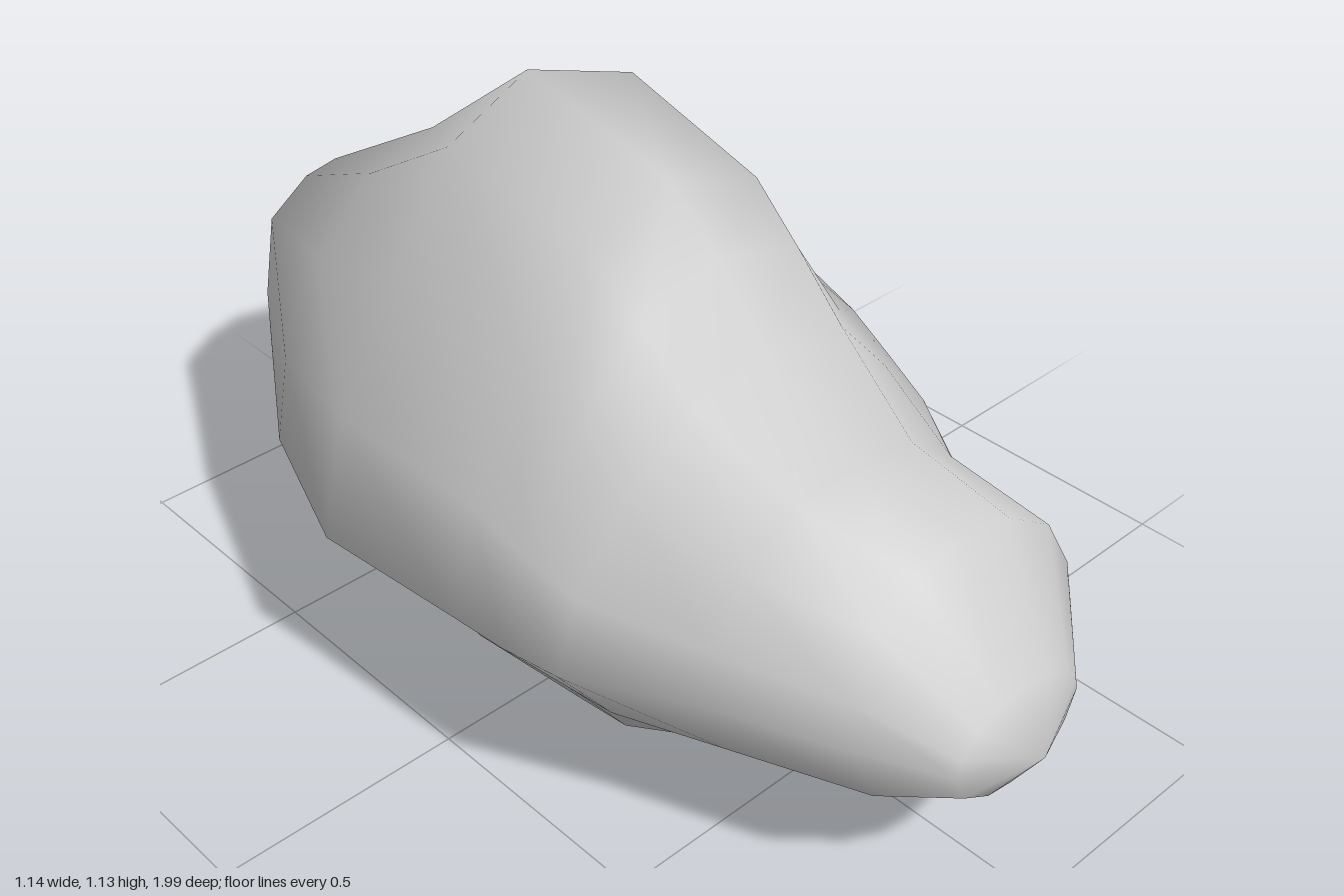
import * as THREE from 'three';

// Widest outline of the boulder, counter-clockwise from its left side (+x)
const OUTLINE = [
  [0.57, 0.39], [0.56, 0.61], [0.35, 0.79], [0.22, 1.05], [-0.03, 1.135], [-0.22, 1.05], [-0.37, 0.84],
  [-0.51, 0.62], [-0.575, 0.39], [-0.39, 0.22], [-0.27, 0.0], [-0.04, 0.02], [0.2, 0.08], [0.47, 0.2],
];

// Stations front to back: z, xMin, xMax, yBottom, ySide, yTop,
// ruggedness (0 = rounded, 1 = outline), boxiness (2 = ellipse), lean along y, backward bow
const STATIONS = [
  [0.94, -0.19, 0.12, 0.26, 0.37, 0.47, 0, 2, 0, 0],
  [0.81, -0.3, 0.265, 0.23, 0.41, 0.66, 0, 2.4, -0.04, 0],
  [0.58, -0.41, 0.265, 0.185, 0.42, 0.735, 0.15, 2.3, 0, 0],
  [0.35, -0.52, 0.41, 0.08, 0.4, 0.85, 0.5, 2, 0, 0],
  [0.22, -0.535, 0.45, 0.015, 0.39, 0.96, 0.7, 2, 0, 0],
  [0.1, -0.545, 0.48, 0.01, 0.39, 1.06, 0.85, 2, 0, 0],
  [-0.23, -0.575, 0.57, 0.0, 0.39, 1.135, 1, 2, -0.04, 0],
  [-0.58, -0.44, 0.44, 0.17, 0.36, 0.9, 0.6, 2.5, 0, 0],
  [-0.925, -0.225, 0.225, 0.21, 0.34, 0.68, 0, 4.5, 0.02, 0.05],
];

// Outline scaled to -1..1 about its own centre
const UNIT = OUTLINE.map(([x, y]) => [
  (x + 0.03) / (x > -0.03 ? 0.6 : 0.545),
  (y - 0.39) / (y > 0.39 ? 0.745 : 0.39),
]);

function boulderGeometry() {
  const n = UNIT.length;
  const positions = [];
  const index = [];

  for (const [z, x0, x1, yb, ys, yt, rugged, box, lean, bow] of STATIONS) {
    const xc = THREE.MathUtils.lerp((x0 + x1) / 2, -0.03, rugged);
    for (const [pu, pv] of UNIT) {
      const r = (Math.abs(pu) ** box + Math.abs(pv) ** box) ** (1 / box);
      const u = THREE.MathUtils.lerp(pu / r, pu, rugged);
      const v = THREE.MathUtils.lerp(pv / r, pv, rugged);
      positions.push(
        xc + u * (u > 0 ? x1 - xc : xc - x0),
        ys + v * (v > 0 ? yt - ys : ys - yb),
        z + lean * v - bow * (1 - Math.abs(u)),
      );
    }
  }

  // Skin between stations
  for (let s = 0; s < STATIONS.length - 1; s++) {
    for (let i = 0; i < n; i++) {
      const a = s * n + i, b = s * n + (i + 1) % n;
      index.push(a, a + n, b, b, a + n, b + n);
    }
  }

  // Nose and rear caps
  const nose = positions.length / 3, rear = nose + 1;
  const last = (STATIONS.length - 1) * n;
  positions.push(-0.04, 0.36, 1, 0, 0.3, -0.99);
  for (let i = 0; i < n; i++) {
    const j = (i + 1) % n;
    index.push(nose, i, j, rear, last + j, last + i);
  }

  const geometry = new THREE.BufferGeometry();
  geometry.setAttribute('position', new THREE.Float32BufferAttribute(positions, 3));
  geometry.setIndex(index);
  geometry.computeVertexNormals();
  return geometry;
}

export function createModel() {
  const group = new THREE.Group();
  group.name = 'rock';
  const boulder = new THREE.Mesh(boulderGeometry(), new THREE.MeshStandardMaterial({ color: 0xcccccc }));
  boulder.name = 'boulder';
  group.add(boulder);
  return group;
}
